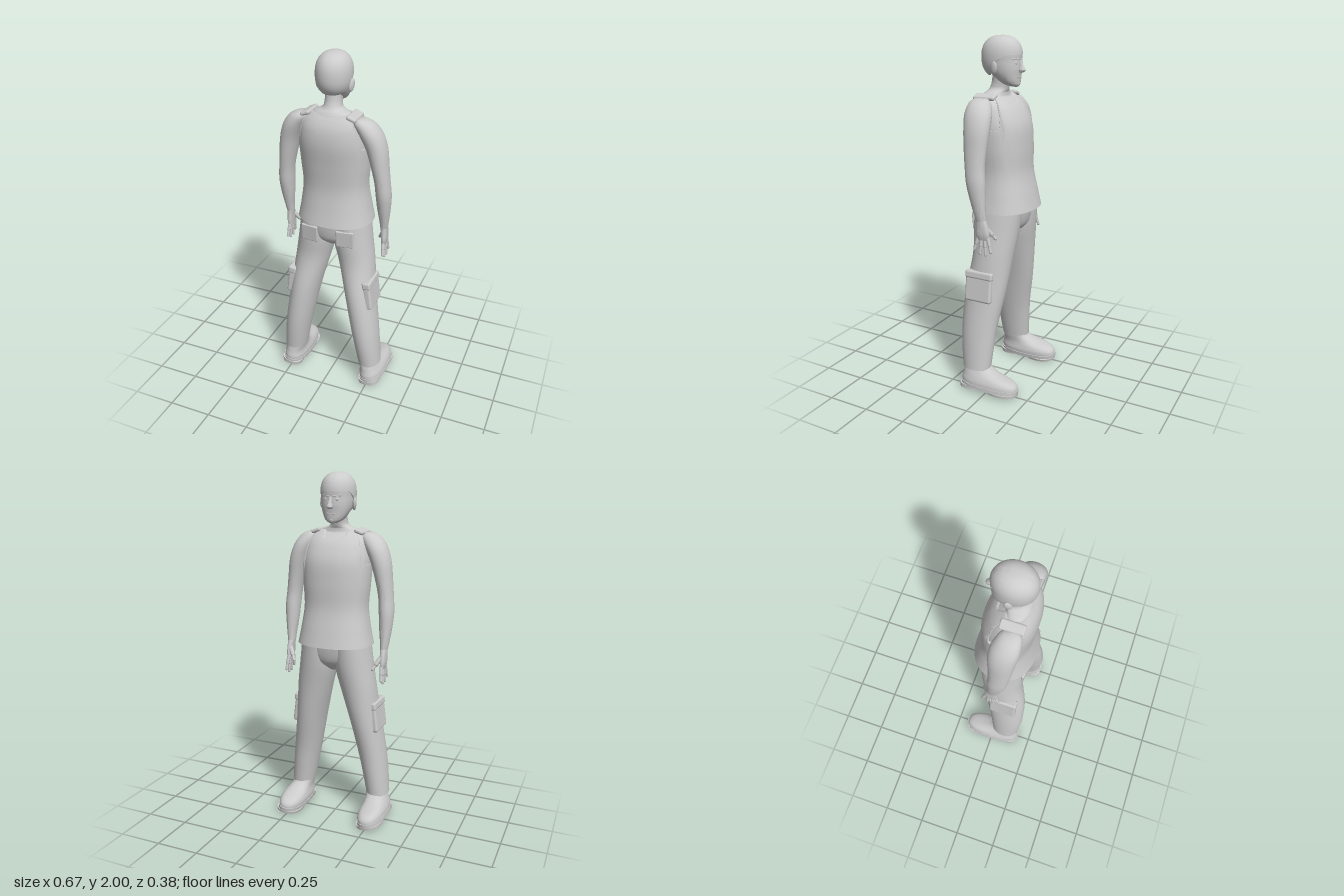
import * as THREE from 'three';
import { toCreasedNormals } from 'three/addons/utils/BufferGeometryUtils.js';
import { RoundedBoxGeometry } from 'three/addons/geometries/RoundedBoxGeometry.js';

const material = new THREE.MeshStandardMaterial({ color: 0xcccccc, side: THREE.DoubleSide });

function add(parent, name, geometry) {
  const mesh = new THREE.Mesh(geometry, material);
  mesh.name = name;
  parent.add(mesh);
  return mesh;
}

// Smooth surface from a grid of points; rows run upwards, columns run around
function gridSurface(rows, cols, point, capped) {
  const pos = [], index = [];
  for (let i = 0; i <= rows; i++)
    for (let j = 0; j < cols; j++) pos.push(...point(i / rows, (j / cols) * Math.PI * 2));
  for (let i = 0; i < rows; i++)
    for (let j = 0; j < cols; j++) {
      const a = i * cols + j, b = i * cols + (j + 1) % cols;
      index.push(a, a + cols, b, b, a + cols, b + cols);
    }
  if (capped)
    for (const row of [0, rows]) {
      const c = pos.length / 3, mid = [0, 0, 0];
      for (let j = 0; j < cols; j++)
        for (let k = 0; k < 3; k++) mid[k] += pos[(row * cols + j) * 3 + k] / cols;
      pos.push(...mid);
      for (let j = 0; j < cols; j++) {
        const a = row * cols + j, b = row * cols + (j + 1) % cols;
        index.push(...(row ? [c, b, a] : [c, a, b]));
      }
    }
  const g = new THREE.BufferGeometry();
  g.setAttribute('position', new THREE.Float32BufferAttribute(pos, 3));
  g.setIndex(index);
  return toCreasedNormals(g, 0.9);
}

// Catmull-Rom through sections [x, y, z, radiusX, radiusZ]
function sample(sections, t) {
  const f = t * (sections.length - 1), i = Math.min(Math.floor(f), sections.length - 2), u = f - i;
  const at = k => sections[Math.max(0, Math.min(sections.length - 1, k))];
  return sections[0].map((_, k) => {
    const [a, b, c, d] = [at(i - 1)[k], at(i)[k], at(i + 1)[k], at(i + 2)[k]];
    return b + 0.5 * u * (c - a + u * (2 * a - 5 * b + 4 * c - d + u * (3 * (b - c) + d - a)));
  });
}

const power = (v, e) => Math.sign(v) * Math.pow(Math.abs(v), e);

function ringPoint([x, y, z, rx, rz], a, n, grow = 0) {
  return [x + (rx + grow) * power(Math.cos(a), 2 / n), y, z + (rz + grow) * power(Math.sin(a), 2 / n)];
}

// Closed loft through horizontal rings, listed from bottom to top
function loft(sections, s = 1, n = 2.1, cols = 28) {
  const mirrored = sections.map(([x, ...rest]) => [x * s, ...rest]);
  return gridSurface((sections.length - 1) * 4, cols, (t, a) => ringPoint(sample(mirrored, t), a, n), true);
}

// Rounded rod between two points
function rod(a, b, r) {
  const p = new THREE.Vector3(...a), q = new THREE.Vector3(...b), d = q.clone().sub(p);
  const g = new THREE.CapsuleGeometry(r, d.length(), 4, 10);
  g.applyQuaternion(new THREE.Quaternion().setFromUnitVectors(new THREE.Vector3(0, 1, 0), d.normalize()));
  return g.translate(...p.add(q).multiplyScalar(0.5).toArray());
}

const torso = [
  [0, 1.06, 0.01, 0.212, 0.172], [0, 1.15, 0.012, 0.195, 0.154], [0, 1.27, 0.018, 0.18, 0.135],
  [0, 1.4, 0.025, 0.188, 0.138], [0, 1.52, 0.037, 0.192, 0.14], [0, 1.6, 0.051, 0.182, 0.122],
  [0, 1.65, 0.062, 0.168, 0.094], [0, 1.69, 0.075, 0.135, 0.055]];

function buildTorso(model) {
  add(model, 'body', loft(torso.map(([x, y, z, rx, rz]) => [x, y, z, rx - 0.006, rz - 0.006]), 1, 2.3));
  // Sleeveless top: upper edge dips at the neck and at the armholes
  const step = THREE.MathUtils.smoothstep;
  const topEdge = a => {
    const c = Math.abs(Math.cos(a)), neck = Math.sin(a) < 0 ? 0.86 : 0.985;
    return (neck + (1 - neck) * step(c, 0.25, 0.5)) * (1 - 0.44 * step(c, 0.72, 0.9));
  };
  add(model, 'sleevelessTop', gridSurface(41, 96, (t, a) => {
    const rim = t > 0.99, v = Math.min(1, t * 41 / 40) * topEdge(a);
    return ringPoint(sample(torso, v), a, 2.3, rim ? -0.012 : 0.004);
  }, false));
  add(model, 'neck', loft([[0, 1.64, 0.07, 0.14, 0.085], [0, 1.69, 0.075, 0.105, 0.062],
    [0, 1.715, 0.062, 0.055, 0.055], [0, 1.75, 0.05, 0.046, 0.052], [0, 1.8, 0.04, 0.05, 0.055]]));
  for (const s of [1, -1]) {
    const strap = add(model, 'shoulderStrap', new RoundedBoxGeometry(0.055, 0.022, 0.13, 3, 0.01));
    strap.position.set(s * 0.128, 1.683, 0.077);
    strap.rotation.z = -s * 0.35;
  }
}

function buildHead(model) {
  const head = new THREE.Group();
  head.name = 'head';
  model.add(head);
  add(head, 'face', loft([[0, 1.733, -0.032, 0.022, 0.024], [0, 1.75, -0.012, 0.05, 0.05],
    [0, 1.79, 0.012, 0.073, 0.077], [0, 1.83, 0.032, 0.085, 0.101], [0, 1.87, 0.037, 0.088, 0.104],
    [0, 1.92, 0.04, 0.088, 0.106], [0, 1.97, 0.042, 0.06, 0.08]], 1, 2.2, 40));
  // Short hair: a dome cut high over the brow and low at the nape, rim tucked in
  add(head, 'hair', gridSurface(21, 48, (t, a) => {
    const back = THREE.MathUtils.smoothstep(Math.sin(a), -0.65, 0.75);
    const low = 1.9 - 0.11 * back, u = Math.max(0, t * 21 - 1) / 20;
    const h = Math.cos((1 - u) * Math.acos((low - 1.885) / 0.115));
    const r = Math.pow(Math.max(0, 1 - Math.abs(h) ** 2.4), 1 / 2.4) * (t === 0 ? 0.88 : 1);
    return [0.096 * r * Math.cos(a), 1.885 + 0.115 * h, 0.043 + 0.117 * r * Math.sin(a)];
  }, false));
  add(head, 'nose', loft([[0, 1.808, -0.07, 0.011, 0.014], [0, 1.818, -0.077, 0.016, 0.022],
    [0, 1.84, -0.071, 0.01, 0.018], [0, 1.872, -0.064, 0.008, 0.009]], 1, 2, 14));
  add(head, 'upperLip', rod([-0.018, 1.783, -0.058], [0.018, 1.783, -0.058], 0.007));
  add(head, 'lowerLip', rod([-0.014, 1.773, -0.055], [0.014, 1.773, -0.055], 0.007));
  add(head, 'chin', new THREE.SphereGeometry(0.022, 16, 10)).position.set(0, 1.75, -0.042);
  for (const s of [1, -1]) {
    add(head, 'eye', new THREE.SphereGeometry(0.012, 14, 10)).position.set(s * 0.032, 1.858, -0.053);
    add(head, 'eyebrow', rod([s * 0.016, 1.876, -0.064], [s * 0.05, 1.878, -0.05], 0.005));
    const ear = add(head, 'ear', new THREE.SphereGeometry(1, 16, 12));
    ear.scale.set(0.011, 0.036, 0.021);
    ear.position.set(s * 0.094, 1.832, 0.042);
    ear.rotation.set(-0.2, -s * 0.25, -s * 0.12);
  }
}

function buildArm(model, s) {
  const arm = new THREE.Group();
  arm.name = s > 0 ? 'leftArm' : 'rightArm';
  model.add(arm);
  add(arm, 'armSkin', loft([[0.286, 1.04, 0.018, 0.02, 0.03], [0.288, 1.09, 0.026, 0.026, 0.036],
    [0.288, 1.17, 0.038, 0.036, 0.046], [0.287, 1.25, 0.048, 0.041, 0.055], [0.28, 1.33, 0.056, 0.041, 0.057],
    [0.266, 1.42, 0.06, 0.046, 0.065], [0.246, 1.52, 0.062, 0.055, 0.074], [0.215, 1.6, 0.07, 0.061, 0.076],
    [0.18, 1.655, 0.08, 0.056, 0.06], [0.163, 1.678, 0.084, 0.03, 0.036]], s));
  add(arm, 'palm', loft([[0.287, 0.935, 0.006, 0.011, 0.034], [0.289, 0.965, 0.008, 0.015, 0.041],
    [0.288, 1.01, 0.012, 0.017, 0.036], [0.286, 1.05, 0.019, 0.02, 0.029]], s, 2.3, 20));
  // Four spread fingers, each with a slight bend, then the thumb
  [[0.035, 0.055, 0.88], [0.016, 0.022, 0.858], [-0.004, -0.012, 0.855], [-0.024, -0.044, 0.875]].forEach(([z0, z1, y1]) => {
    const mid = [s * 0.291, (0.95 + y1) / 2, (z0 + z1) / 2];
    add(arm, 'finger', rod([s * 0.287, 0.95, z0], mid, 0.01));
    add(arm, 'fingertip', rod(mid, [s * 0.294, y1, z1], 0.008));
  });
  add(arm, 'thumbBase', rod([s * 0.28, 1.0, -0.01], [s * 0.259, 0.965, -0.03], 0.013));
  add(arm, 'thumb', rod([s * 0.259, 0.965, -0.03], [s * 0.243, 0.938, -0.046], 0.009));
}

function buildLeg(model, s) {
  const leg = new THREE.Group();
  leg.name = s > 0 ? 'leftLeg' : 'rightLeg';
  model.add(leg);
  add(leg, 'trouserLeg', loft([[0.244, 0.14, 0.08, 0.066, 0.084], [0.227, 0.27, 0.082, 0.073, 0.098],
    [0.207, 0.4, 0.078, 0.079, 0.108], [0.172, 0.6, 0.057, 0.086, 0.122], [0.135, 0.8, 0.029, 0.101, 0.119],
    [0.108, 0.94, 0.022, 0.108, 0.132], [0.095, 1.08, 0.018, 0.101, 0.144]], s));
  const pocket = add(leg, 'sidePocket', new RoundedBoxGeometry(0.045, 0.175, 0.165, 3, 0.014));
  pocket.position.set(s * 0.238, 0.635, 0.063);
  pocket.rotation.z = s * 0.13;
  const flap = add(leg, 'pocketFlap', new RoundedBoxGeometry(0.05, 0.045, 0.172, 3, 0.012));
  flap.position.set(s * 0.231, 0.703, 0.062);
  flap.rotation.z = s * 0.13;
  const patch = add(leg, 'backPocket', new RoundedBoxGeometry(0.1, 0.1, 0.016, 2, 0.006));
  patch.position.set(s * 0.105, 0.99, 0.152);
  patch.rotation.set(0.08, s * 0.12, 0);

  // Shoe, leaning with the outer edge raised
  const shoe = new THREE.Group();
  shoe.name = 'shoe';
  shoe.position.set(s * 0.258, 0.011, 0);
  shoe.rotation.z = s * 0.11;
  leg.add(shoe);
  add(shoe, 'shoeUpper', loft([[0, 0.025, -0.008, 0.074, 0.176], [0, 0.055, -0.006, 0.074, 0.175],
    [0, 0.078, 0.006, 0.067, 0.158], [-0.002, 0.1, 0.044, 0.059, 0.116], [-0.006, 0.122, 0.068, 0.055, 0.088],
    [-0.01, 0.15, 0.08, 0.053, 0.072]], s, 2.4, 36));
  add(shoe, 'sole', loft([[0, 0.014, -0.008, 0.077, 0.179], [0, 0.036, -0.008, 0.078, 0.181]], s, 2.4, 36));
  add(shoe, 'forefootSole', loft([[0, 0.002, -0.087, 0.074, 0.098], [0, 0.016, -0.087, 0.077, 0.1]], s, 2.3));
  add(shoe, 'heel', loft([[0, -0.002, 0.108, 0.062, 0.064], [0, 0.022, 0.108, 0.064, 0.066]], s, 2.8));
}

export function createModel() {
  const model = new THREE.Group();
  model.name = 'standingMan';
  buildTorso(model);
  buildHead(model);
  // Trouser seat joining both legs
  add(model, 'trouserSeat', loft([[0, 0.905, 0.025, 0.04, 0.06], [0, 0.95, 0.022, 0.13, 0.115],
    [0, 1.0, 0.02, 0.185, 0.134], [0, 1.08, 0.018, 0.195, 0.145]]));
  for (const s of [1, -1]) {
    buildArm(model, s);
    buildLeg(model, s);
  }
  return model;
}
